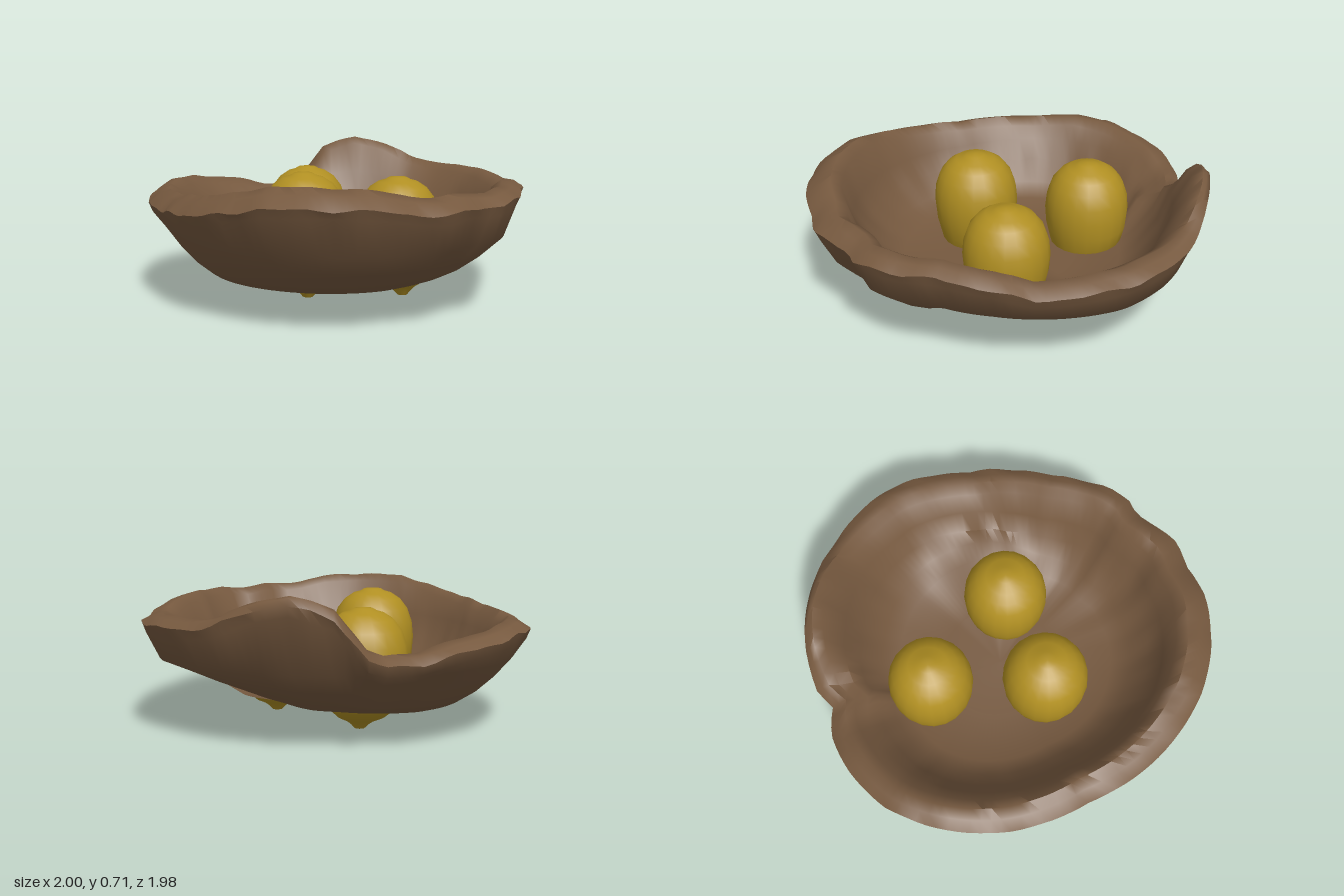
import * as THREE from 'three';
import { toCreasedNormals } from 'three/addons/utils/BufferGeometryUtils.js';

const brown = new THREE.MeshStandardMaterial({ color: 0x76593f });
brown.name = 'nest brown';
const ochre = new THREE.MeshStandardMaterial({ color: 0xb08f22 });
ochre.name = 'egg ochre';

// Rim by angle: [degrees from +x towards +z, rim radius, crest height, flat base radius]
const RIM = [
  [0, 0.99, 0.6, 0.58], [4, 1.0, 0.6, 0.58], [10, 1.01, 0.59, 0.58], [13, 0.975, 0.59, 0.58],
  [20, 1.0, 0.61, 0.59], [28, 1.04, 0.595, 0.6], [36, 1.02, 0.61, 0.62],
  [45, 1.04, 0.64, 0.63], [60, 1.035, 0.655, 0.64], [75, 1.015, 0.65, 0.64], [90, 0.98, 0.6, 0.64],
  [105, 0.945, 0.57, 0.64], [120, 0.915, 0.55, 0.64],
  [135, 0.935, 0.54, 0.65], [150, 0.96, 0.53, 0.65], [165, 0.985, 0.55, 0.65],
  [180, 1.0, 0.53, 0.65], [195, 0.98, 0.5, 0.64], [208, 0.95, 0.455, 0.6],
  [216, 0.89, 0.44, 0.57], [222, 0.94, 0.48, 0.55], [227, 0.945, 0.58, 0.53], [231, 0.945, 0.66, 0.52],
  [243, 0.945, 0.715, 0.5], [254, 0.955, 0.68, 0.46], [264, 0.975, 0.61, 0.42],
  [275, 0.995, 0.58, 0.36], [292, 1.01, 0.58, 0.25], [308, 0.975, 0.56, 0.2],
  [318, 0.955, 0.55, 0.2], [330, 0.935, 0.59, 0.24], [345, 0.93, 0.605, 0.44], [360, 0.99, 0.6, 0.58],
];

function rimAt(deg) {
  const i = Math.max(1, RIM.findIndex((k) => k[0] >= deg));
  const [a, b] = [RIM[i - 1], RIM[i]];
  const t = (deg - a[0]) / (b[0] - a[0]);
  return [1, 2, 3].map((n) => a[n] + (b[n] - a[n]) * t);
}

// Smooth bump, 1 at the middle angle and 0 beyond the half width
const bump = (deg, middle, half) => 1 - THREE.MathUtils.smoothstep(Math.abs(deg - middle), 0, half);

// Cross-section of the shell, from the base centre out, over the lip and in to the floor centre
function section(deg) {
  const [R, h, b] = rimAt(deg);
  const a = THREE.MathUtils.degToRad(deg);
  const wave = 0.006 * Math.sin(a * 17) + 0.005 * Math.sin(a * 29 + 1);
  const front = Math.max(0, Math.sin(a + 0.1));       // lip rolls lower at the front
  const steep = bump(deg, 245, 45);                   // steep wall below the rim peak
  const dent = bump(deg, 322, 42);                    // underside pushed up around one egg
  const kneeR = 0.92 * R, kneeY = Math.min(0.36, h - 0.13);
  const sag = 0.09 - 0.23 * dent;
  const mid = (t) => [b + (kneeR - b) * t, 0.13 + (kneeY - 0.13) * t - sag * t * (1 - t)];
  const crest = 0.9 - 0.025 * front + 0.06 * steep;
  const wallR = 0.73 + 0.03 * steep;
  const wallY = Math.min(0.44, h - 0.09);
  return [
    [0, 0.13], [b * 0.6, 0.13], [b, 0.132],
    mid(0.33), mid(0.67), [kneeR, kneeY],
    [0.98 * R, h - 0.09 - 0.03 * front], [R, h - 0.04 - 0.04 * front + wave],
    [(crest + 1) / 2 * R, h - 0.01 - 0.015 * front], [crest * R, h + wave * 0.5],
    [(crest - 0.05) * R, h - 0.035], [(wallR + 0.06) * R, wallY + 0.08 * steep],
    [wallR * R, 0.34 + 0.03 * steep + wave], [0.65 * R, 0.235 + 0.11 * dent],
    [0.56 * R, 0.175 + 0.13 * dent], [0.3 * R, 0.165 + 0.05 * dent], [0, 0.165],
  ];
}

function nestGeometry(steps = 120) {
  const pos = [], index = [];
  const count = section(0).length;
  for (let i = 0; i < steps; i++) {
    const deg = (i / steps) * 360, a = THREE.MathUtils.degToRad(deg);
    for (const [r, y] of section(deg)) pos.push(r * Math.cos(a), y, r * Math.sin(a));
  }
  for (let i = 0; i < steps; i++) {
    const p = i * count, q = ((i + 1) % steps) * count;
    for (let j = 0; j < count - 1; j++) {
      // the first and last strips end in a point, so they need one triangle only
      if (j < count - 2) index.push(p + j, p + j + 1, q + j + 1);
      else index.push(p + j, p + j + 1, q + j);
      if (j > 0 && j < count - 2) index.push(p + j, q + j + 1, q + j);
    }
  }
  const g = new THREE.BufferGeometry();
  g.setAttribute('position', new THREE.Float32BufferAttribute(pos, 3));
  g.setIndex(index);
  return toCreasedNormals(g, 1.0);
}

// Egg with a small cap on top and a lower nub that sits aside
function eggGeometry(height) {
  const profile = [
    [0, 0], [0.025, 0.003], [0.045, 0.025], [0.07, 0.045], [0.115, 0.068], [0.16, 0.115],
    [0.19, 0.18], [0.208, 0.26], [0.215, 0.35], [0.207, 0.43], [0.183, 0.5], [0.145, 0.55],
    [0.1, 0.58], [0.065, 0.59], [0.045, 0.602], [0, 0.607],
  ].map(([r, y]) => new THREE.Vector2(r, y * height / 0.607));
  const g = new THREE.LatheGeometry(profile, 20);
  const p = g.attributes.position;
  for (let i = 0; i < p.count; i++) {
    const lean = 1 - THREE.MathUtils.smoothstep(p.getY(i), 0, 0.16);
    p.setX(i, p.getX(i) + 0.06 * lean);
    p.setZ(i, p.getZ(i) + 0.05 * lean);
  }
  return toCreasedNormals(g, 0.6);
}

export function createModel() {
  const model = new THREE.Group();
  model.name = 'nestWithEggs';

  const nest = new THREE.Mesh(nestGeometry(), brown);
  nest.name = 'nest';
  model.add(nest);

  // [name, x, base height, z, egg height]
  const eggs = [
    ['rightEgg', -0.33, 0, -0.205, 0.605],
    ['leftEgg', 0.275, 0, -0.145, 0.595],
    ['frontEgg', -0.01, 0.035, 0.275, 0.605],
  ];
  for (const [name, x, y, z, height] of eggs) {
    const egg = new THREE.Mesh(eggGeometry(height), ochre);
    egg.name = name;
    egg.position.set(x, y, z);
    model.add(egg);
  }
  return model;
}
